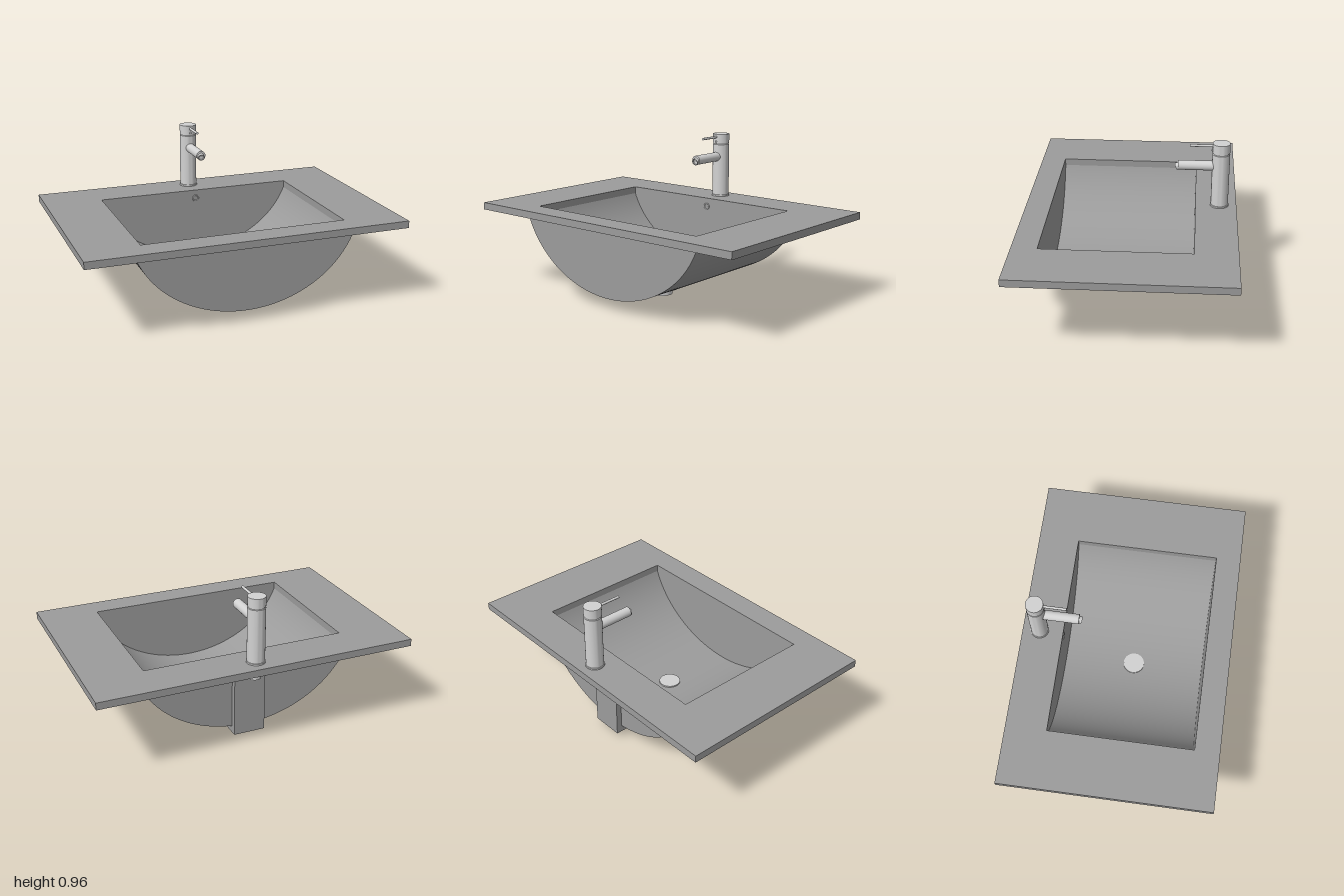
import * as THREE from 'three';
import { toCreasedNormals } from 'three/addons/utils/BufferGeometryUtils.js';

export function createModel() {
  const model = new THREE.Group();
  const ceramic = new THREE.MeshStandardMaterial({ name: 'grey ceramic', color: 0x9c9c9c });
  const metal = new THREE.MeshStandardMaterial({ name: 'light metal', color: 0xd2d2d2 });

  const add = (name, geometry, material, x = 0, y = 0, z = 0, parent = model) => {
    const mesh = new THREE.Mesh(geometry, material);
    mesh.name = name;
    mesh.position.set(x, y, z);
    parent.add(mesh);
    return mesh;
  };
  // upright cylinder between two heights
  const post = (name, r, y0, y1, z, material = metal) =>
    add(name, new THREE.CylinderGeometry(r, r, y1 - y0, 40), material, 0, (y0 + y1) / 2, z);
  const lathe = (pts) => toCreasedNormals(
    new THREE.LatheGeometry(pts.map(([r, y]) => new THREE.Vector2(r, y)), 40), 0.6);
  const extrude = (shape, depth) => toCreasedNormals(
    new THREE.ExtrudeGeometry(shape, { depth, bevelEnabled: false }), 0.5);

  // counter slab with a rectangular opening
  const slab = new THREE.Shape([[-1, -0.655], [1, -0.655], [1, 0.655], [-1, 0.655]]
    .map(([x, y]) => new THREE.Vector2(x, y)));
  slab.holes.push(new THREE.Path([[-0.64, -0.5], [-0.64, 0.4], [0.64, 0.4], [0.64, -0.5]]
    .map(([x, y]) => new THREE.Vector2(x, y))));
  add('counterSlab', extrude(slab, 0.045).rotateX(-Math.PI / 2), ceramic, 0, 0.505, 0);

  // bowl: curved trough with flat front and back walls
  const rim = 0.505, centreY = 0.68;
  const arc = (halfWidth, bottom) => {
    const b = centreY - bottom, s = (centreY - rim) / b;
    const a = halfWidth / Math.sqrt(1 - s * s), start = Math.asin(s), pts = [];
    for (let i = 0; i <= 64; i++) {
      const t = Math.PI + start + (Math.PI - 2 * start) * i / 64;
      pts.push(new THREE.Vector2(a * Math.cos(t), centreY + b * Math.sin(t)));
    }
    return pts;
  };
  const outer = arc(0.69, 0.075), inner = arc(0.64, 0.125);
  add('bowlTrough', extrude(new THREE.Shape([...outer, ...inner.reverse()]), 0.9), ceramic, 0, 0, -0.4);
  add('bowlFrontWall', extrude(new THREE.Shape(outer), 0.05), ceramic, 0, 0, 0.5);
  add('bowlBackWall', extrude(new THREE.Shape(outer), 0.04), ceramic, 0, 0, -0.44);

  // overflow duct down the back and under the bowl
  add('overflowDuctBack', new THREE.BoxGeometry(0.2, 0.468, 0.04), ceramic, 0, 0.271, -0.456);
  add('overflowDuctBottom', new THREE.BoxGeometry(0.2, 0.053, 0.526), ceramic, 0, 0.0635, -0.213);
  post('drainFlange', 0.1, 0.035, 0.09, 0.05, ceramic);
  add('overflowRing', new THREE.TorusGeometry(0.019, 0.004, 10, 28), metal, 0, 0.495, -0.399);

  // drain
  post('drainPlug', 0.067, 0.12, 0.135, 0.05);
  add('drainPipe', lathe([[0, 0.03], [0.055, 0.03], [0.055, 0], [0.067, 0], [0.067, 0.04]]), metal, 0, 0, 0.05);

  // tap body, with a narrow groove below the cap
  const tapZ = -0.548;
  add('tapBody', lathe([[0, 0.55], [0.058, 0.55], [0.058, 0.559], [0.054, 0.561], [0.054, 0.896],
    [0.05, 0.9], [0.05, 0.904], [0.054, 0.905], [0.054, 0.965], [0, 0.965]]), metal, 0, 0, tapZ);
  post('tapWasher', 0.054, 0.49, 0.506, -0.538, ceramic);
  post('tapShank', 0.037, 0.44, 0.495, -0.538);

  // spout with a tilted nozzle
  const spout = new THREE.CylinderGeometry(0.03, 0.03, 0.255, 32).rotateX(Math.PI / 2);
  add('spout', spout, metal, 0, 0.815, -0.4125);
  const nozzle = add('spoutNozzle', lathe([[0, 0], [0.022, 0], [0.022, 0.036], [0.017, 0.036],
    [0.017, 0.024], [0, 0.024]]), metal, 0, 0.815, -0.307);
  nozzle.rotation.x = Math.PI / 2 + 0.3;

  // lever and its grub screw
  add('lever', new THREE.CylinderGeometry(0.008, 0.008, 0.165, 16).rotateX(Math.PI / 2), metal, 0, 0.946, -0.4375);
  add('grubScrew', new THREE.SphereGeometry(0.007, 12, 8), metal, 0, 0.917, -0.494);

  return model;
}
